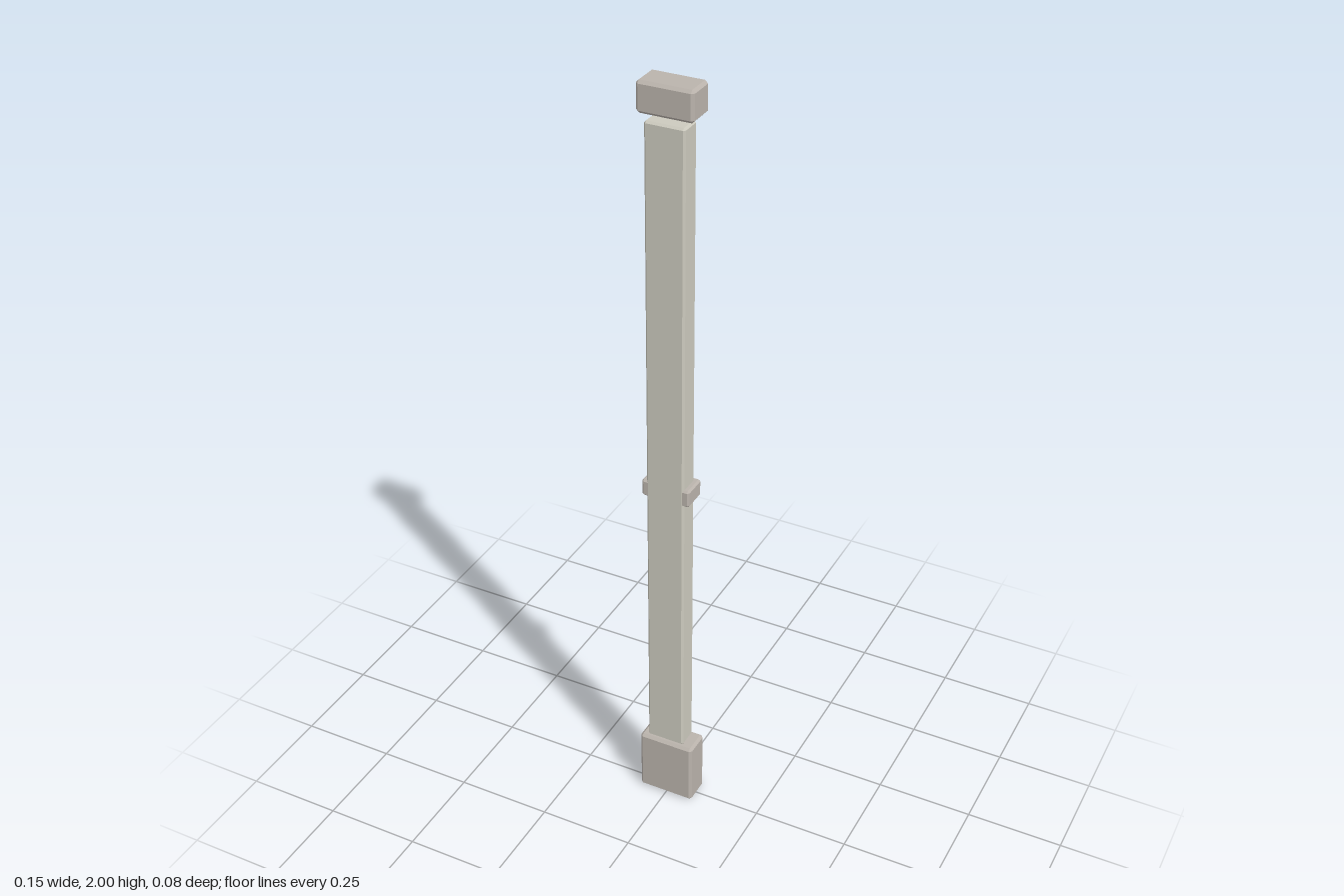
import * as THREE from 'three';
import { ConvexGeometry } from 'three/addons/geometries/ConvexGeometry.js';

// Box between two corners with every edge and corner chamfered by c
function chamferBox(min, max, c) {
  const half = max.map((v, i) => (v - min[i]) / 2);
  const points = [];
  for (const sx of [-1, 1]) for (const sy of [-1, 1]) for (const sz of [-1, 1]) {
    for (let axis = 0; axis < 3; axis++) {
      // this point lies on the face of one axis, inset along the other two
      const p = [sx, sy, sz].map((s, i) => s * (half[i] - (i === axis ? 0 : c)));
      points.push(new THREE.Vector3(...p));
    }
  }
  const geometry = new ConvexGeometry(points);
  geometry.translate(...max.map((v, i) => (v + min[i]) / 2));
  return geometry;
}

export function createModel() {
  const group = new THREE.Group();
  const blockMaterial = new THREE.MeshStandardMaterial({ color: 0xbab3ac, flatShading: true });
  const shaftMaterial = new THREE.MeshStandardMaterial({ color: 0xcccabe, flatShading: true });

  // halfWidth in x, y range, z range
  const add = (name, halfWidth, y0, y1, z0, z1, chamfer, material) => {
    const mesh = new THREE.Mesh(
      chamferBox([-halfWidth, y0, z0], [halfWidth, y1, z1], chamfer), material);
    mesh.name = name;
    group.add(mesh);
  };

  // Plinth at the foot and capital at the head, each a hair clear of the shaft
  add('base', 0.075, 0, 0.177, -0.0375, 0.0375, 0.007, blockMaterial);
  add('capital', 0.07, 1.925, 2, -0.0375, 0.0375, 0.007, blockMaterial);
  // Flat shaft, flush with the front of the blocks
  add('shaft', 0.05, 0.185, 1.912, -0.02, 0.0375, 0.005, shaftMaterial);
  // Narrow band around the sides and back at mid height
  add('band', 0.0635, 0.942, 0.988, -0.03, 0.037, 0.005, blockMaterial);

  return group;
}
